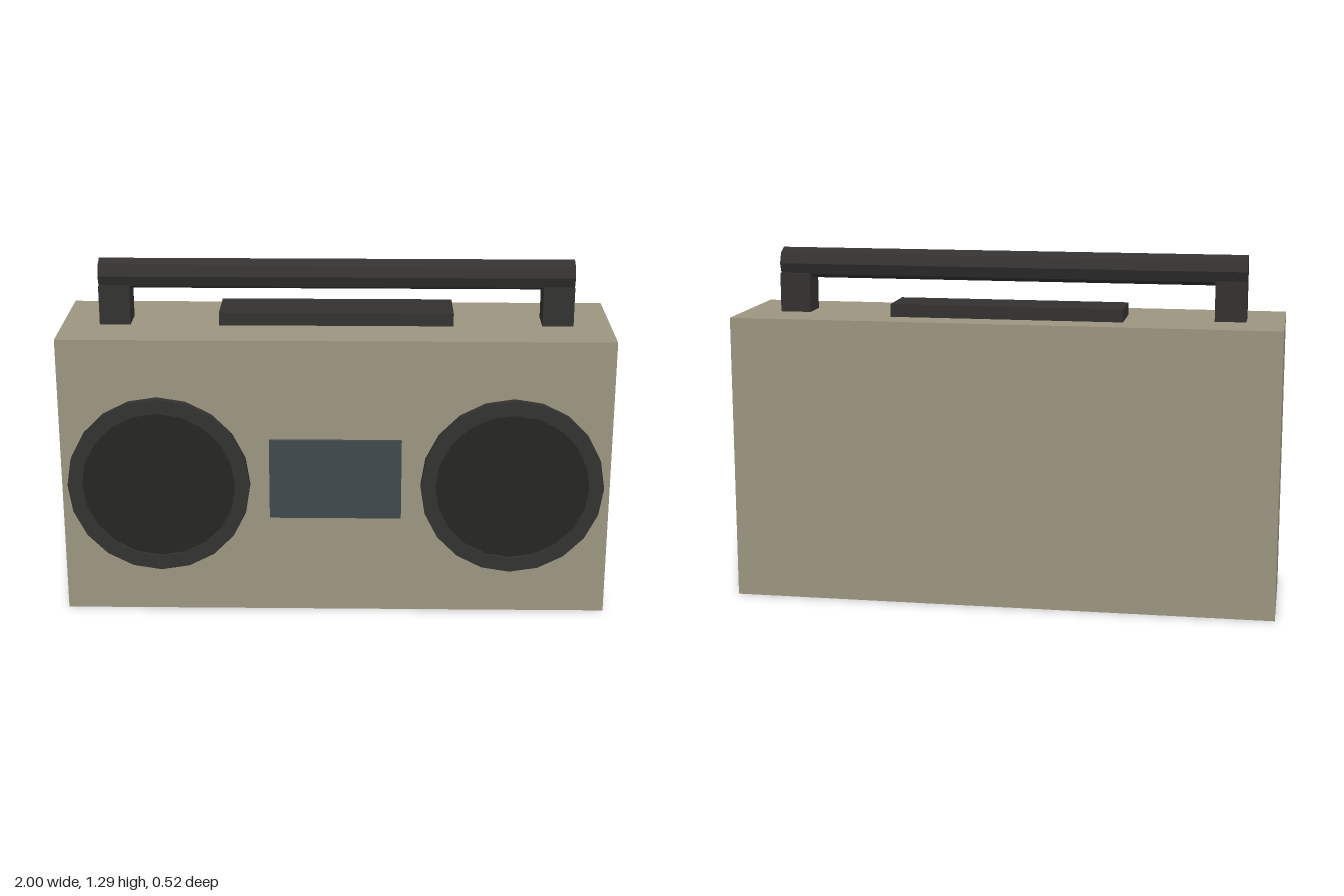
import * as THREE from 'three';

const material = (color) => new THREE.MeshStandardMaterial({ color, flatShading: true });

export function createModel() {
  const group = new THREE.Group();
  const shell = material(0x9c9580);
  const dark = material(0x333231);
  const cone = material(0x262524);
  const glass = material(0x3e494b);

  const add = (name, geometry, mat, x, y, z) => {
    const mesh = new THREE.Mesh(geometry, mat);
    mesh.name = name;
    mesh.position.set(x, y, z);
    group.add(mesh);
    return mesh;
  };
  // Box given by its minimum and maximum corners
  const box = (name, mat, [x0, y0, z0], [x1, y1, z1]) =>
    add(name, new THREE.BoxGeometry(x1 - x0, y1 - y0, z1 - z0), mat,
      (x0 + x1) / 2, (y0 + y1) / 2, (z0 + z1) / 2);

  // Main case, front window and top control panel
  box('body', shell, [-1, 0, -0.262], [1, 1.05, 0.234]);
  box('cassetteWindow', glass, [-0.24, 0.375, 0.22], [0.24, 0.677, 0.249]);
  box('controlPanel', dark, [-0.427, 1.04, -0.142], [0.427, 1.097, 0.048]);

  // Faceted speaker rim with a round hole
  const polygon = (Path, radius, sides) => new Path().setFromPoints(
    Array.from({ length: sides }, (_, i) => {
      const a = (i / sides) * Math.PI * 2;
      return new THREE.Vector2(Math.cos(a) * radius, Math.sin(a) * radius);
    }));
  const rimShape = polygon(THREE.Shape, 0.333, 20);
  rimShape.holes.push(polygon(THREE.Path, 0.279, 20));
  const rim = new THREE.ExtrudeGeometry(rimShape, { depth: 0.038, bevelEnabled: false });
  const disc = new THREE.CylinderGeometry(0.282, 0.282, 0.03, 20).rotateX(Math.PI / 2);

  for (const [side, s] of [['left', 1], ['right', -1]]) {
    // Speaker
    add(side + 'SpeakerRim', rim, dark, s * 0.643, 0.503, 0.224);
    add(side + 'SpeakerCone', disc, cone, s * 0.643, 0.503, 0.235);
    // Handle post
    add(side + 'HandlePost', new THREE.BoxGeometry(0.113, 0.153, 0.113), dark, s * 0.807, 1.117, -0.013);
  }

  // Octagonal grip bar
  const bar = new THREE.CylinderGeometry(0.056, 0.056, 1.728, 8).rotateZ(Math.PI / 2);
  add('handleBar', bar, dark, 0, 1.23, -0.013);

  return group;
}
